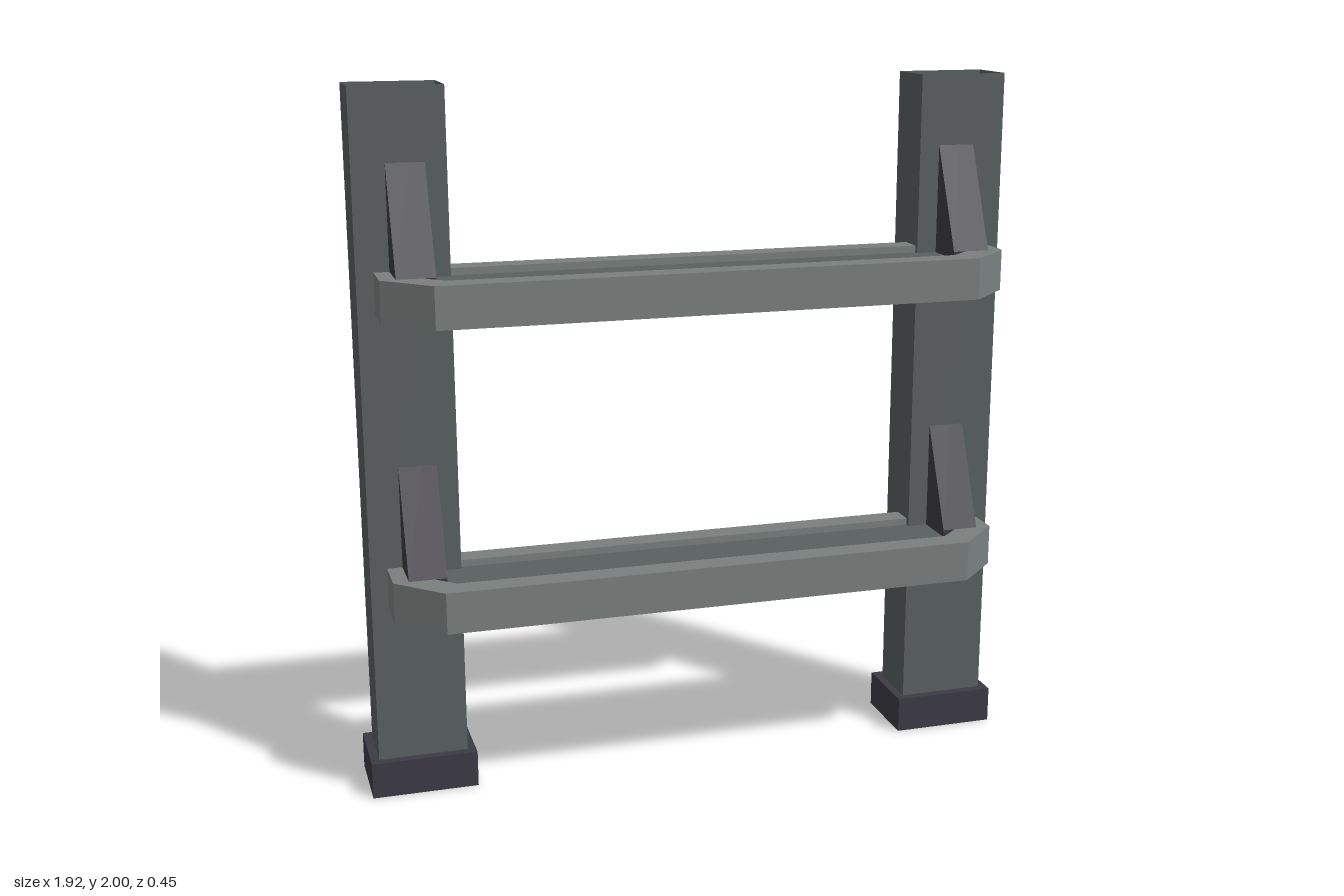
import * as THREE from 'three';

const steel = new THREE.MeshStandardMaterial({ name: 'dark grey steel', color: 0x5a6060, side: THREE.DoubleSide });
const panelGrey = new THREE.MeshStandardMaterial({ name: 'panel grey', color: 0x5a6060 });
const rimGrey = new THREE.MeshStandardMaterial({ name: 'light grey', color: 0x7a807f });
const dark = new THREE.MeshStandardMaterial({ name: 'dark slate', color: 0x3c3a43 });

function add(parent, name, geometry, material, x = 0, y = 0, z = 0) {
  const mesh = new THREE.Mesh(geometry, material);
  mesh.name = name;
  mesh.position.set(x, y, z);
  parent.add(mesh);
  return mesh;
}

const outline = (pairs) => pairs.map(([x, y]) => new THREE.Vector2(x, y));

// Plan outline (x, z) thickened downwards from y = 0
function slab(shape, thickness) {
  return new THREE.ExtrudeGeometry(shape, { depth: thickness, bevelEnabled: false }).rotateX(Math.PI / 2);
}

// Rectangular tube without caps
function openTube(w, h, d) {
  const g = new THREE.CylinderGeometry(Math.SQRT1_2, Math.SQRT1_2, h, 4, 1, true)
    .rotateY(Math.PI / 4).scale(w, 1, d).toNonIndexed();
  g.computeVertexNormals();
  return g;
}

// Tray-like rung: rim with chamfered front corners, recessed panel
function createRung(topY) {
  const rung = new THREE.Group();
  rung.name = 'rung';
  const outer = outline([[-0.888, -0.11], [0.888, -0.11], [0.888, 0.1], [0.763, 0.222], [-0.763, 0.222], [-0.888, 0.1]]);
  const inner = outline([[-0.78, -0.04], [0.78, -0.04], [0.78, 0.095], [0.72, 0.15], [-0.72, 0.15], [-0.78, 0.095]]);
  const rim = new THREE.Shape(outer);
  rim.holes.push(new THREE.Path(inner));
  const floor = new THREE.Shape(inner);
  add(rung, 'rungRim', slab(rim, 0.117), rimGrey);
  add(rung, 'rungFloor', slab(floor, 0.092), rimGrey, 0, -0.025);
  add(rung, 'rungPanel', slab(floor, 0.005), panelGrey, 0, -0.02);

  // Wedge braces rising from the rung into the posts
  const wedge = new THREE.Shape(outline([[-0.1, -0.02], [0.11, -0.02], [0.11, 0.48], [-0.1, 0]]));
  const wedgeGeo = new THREE.ExtrudeGeometry(wedge, { depth: 0.106, bevelEnabled: false })
    .translate(0, 0, -0.053).rotateY(Math.PI / 2);
  for (const side of [-1, 1]) add(rung, 'brace', wedgeGeo, dark, side * 0.792);

  rung.position.y = topY;
  return rung;
}

export function createModel() {
  const model = new THREE.Group();
  model.name = 'rack';

  // Hollow posts standing on block feet
  for (const side of [-1, 1]) {
    add(model, 'post', openTube(0.255, 1.9, 0.165), steel, side * 0.808, 1.05, -0.109);
    add(model, 'foot', new THREE.BoxGeometry(0.303, 0.105, 0.225), dark, side * 0.808, 0.0525, -0.1125);
  }

  for (const topY of [0.677, 1.51]) model.add(createRung(topY));
  return model;
}
